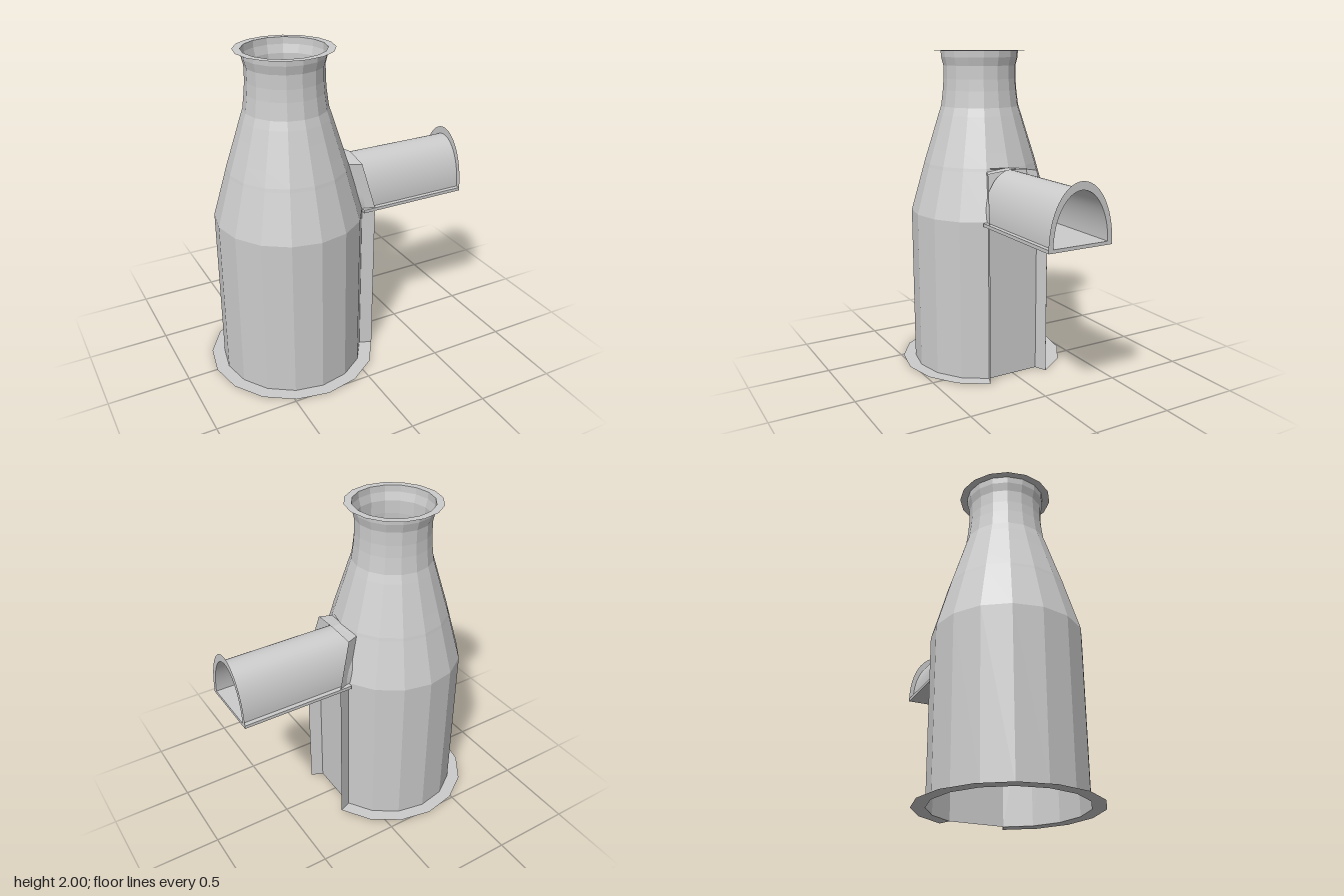
import * as THREE from 'three';

const CX = -0.29;                 // axis of the tower
const STEP = Math.PI / 8;         // 16-sided tower
const FLANGE = 0.08;              // how far the door frame stands out

const material = (flat) => new THREE.MeshStandardMaterial({
  color: 0xcccccc, flatShading: flat, side: THREE.DoubleSide,
});

function add(group, name, geometry, flat = true) {
  const mesh = new THREE.Mesh(geometry, material(flat));
  mesh.name = name;
  group.add(mesh);
  return mesh;
}

// Strip of quads between two matching rows of points
function ribbon(a, b) {
  const positions = [...a, ...b].flatMap((p) => [p.x, p.y, p.z]);
  const index = [];
  for (let i = 0; i < a.length - 1; i++) {
    const j = i + a.length;
    index.push(i, j, i + 1, i + 1, j, j + 1);
  }
  const g = new THREE.BufferGeometry();
  g.setAttribute('position', new THREE.Float32BufferAttribute(positions, 3));
  g.setIndex(index);
  g.computeVertexNormals();
  return g;
}

// Half-ellipse standing on straight legs, from one foot to the other
function archPoints(halfWidth, foot, spring, top, n = 32) {
  const pts = [new THREE.Vector2(halfWidth, foot)];
  for (let i = 0; i <= n; i++) {
    const t = (Math.PI * i) / n;
    pts.push(new THREE.Vector2(halfWidth * Math.cos(t), spring + (top - spring) * Math.sin(t)));
  }
  pts.push(new THREE.Vector2(-halfWidth, foot));
  return pts;
}

function flatRing(inner, outer, y, start = 0, segments = 16) {
  const g = new THREE.RingGeometry(inner, outer, segments, 1, start, segments * STEP);
  return g.rotateX(-Math.PI / 2).translate(CX, y, 0);
}

export function createModel() {
  const model = new THREE.Group();
  model.name = 'bottleTower';

  // Tower wall; the facet pair behind the door is flattened to one panel
  const profile = [
    [0.445, 0], [0.445, 1], [0.362, 1.29], [0.357, 1.31], [0.328, 1.4], [0.29, 1.52],
    [0.262, 1.61], [0.245, 1.66], [0.232, 1.76], [0.227, 1.83], [0.227, 1.91], [0.24, 1.96], [0.242, 2],
  ].map(([r, y]) => new THREE.Vector2(r, y));
  const wall = new THREE.LatheGeometry(profile, 16);
  const pos = wall.attributes.position;
  for (let i = 0; i < pos.count; i++) {
    const r = Math.hypot(pos.getX(i), pos.getZ(i));
    if (pos.getY(i) < 1.3 && pos.getX(i) > r * 0.99) pos.setX(i, r * Math.cos(STEP));
  }
  add(model, 'towerWall', wall.translate(CX, 0, 0));

  // Flat flanges at the foot and the mouth
  add(model, 'footFlange', flatRing(0.445, 0.525, 0, STEP, 14));
  add(model, 'mouthFlange', flatRing(0.242, 0.287, 2));

  // Door frame: radial fins up both sides, joined by a hood
  const fin = [[0.445, 0], [0.445, 1], [0.362, 1.29]];
  const frameRow = (offset) => {
    const side = (s) => fin.map(([r, y]) => new THREE.Vector3(
      CX + (r + offset) * Math.cos(STEP), y, s * (r + offset) * Math.sin(STEP)));
    const crown = new THREE.Vector3(0.058 + offset * 0.9, 1.31, 0);
    return [...side(1), crown, ...side(-1).reverse()];
  };
  add(model, 'doorFrame', ribbon(frameRow(0), frameRow(FLANGE)));

  // Vaulted passage with floor slab and end rim
  const chute = new THREE.Group();
  chute.name = 'passage';
  model.add(chute);
  const vault = archPoints(0.177, 0.99, 1, 1.298);
  const row = (x) => vault.map((p) => new THREE.Vector3(x, p.y, p.x));
  add(chute, 'passageVault', ribbon(row(0.08), row(0.82)), false);

  add(chute, 'passageFloor', new THREE.BoxGeometry(0.7, 0.02, 0.41)).position.set(0.47, 0.99, 0);

  const rim = new THREE.Shape(archPoints(0.206, 0.98, 1, 1.345));
  rim.holes.push(new THREE.Path(archPoints(0.176, 1, 1.001, 1.297).reverse()));
  add(chute, 'passageRim', new THREE.ShapeGeometry(rim).rotateY(Math.PI / 2).translate(0.82, 0, 0));

  return model;
}
